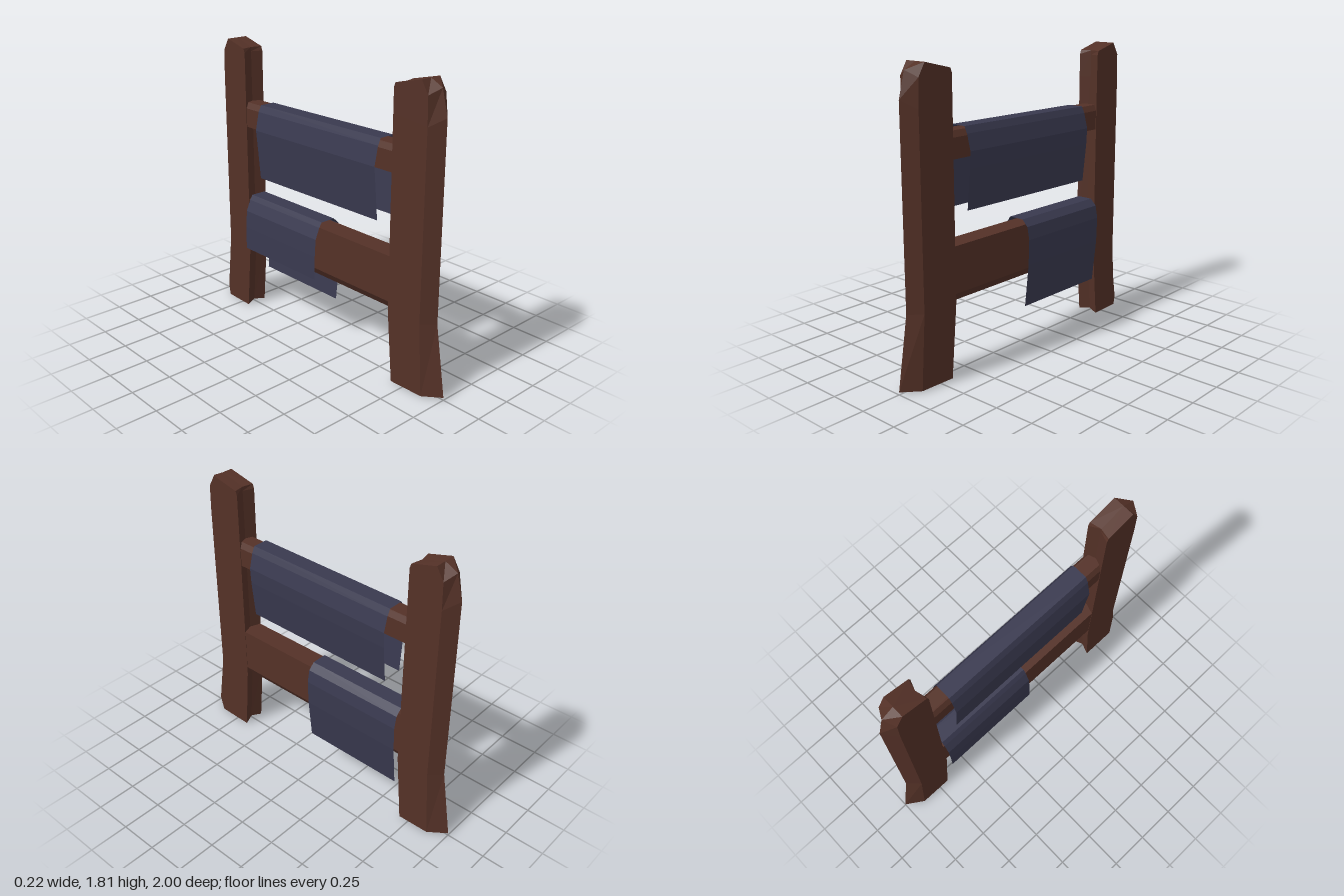
import * as THREE from 'three';

const W = 0.07; // half width of the timber

// Skin a stack of closed cross-sections, with end caps.
function loft(loops) {
  const pos = [];
  const tri = (a, b, c) => pos.push(...a, ...b, ...c);
  const n = loops[0].length;
  for (let l = 0; l < loops.length - 1; l++) {
    for (let i = 0; i < n; i++) {
      const j = (i + 1) % n;
      tri(loops[l][i], loops[l][j], loops[l + 1][j]);
      tri(loops[l][i], loops[l + 1][j], loops[l + 1][i]);
    }
  }
  const top = loops[loops.length - 1];
  for (let i = 1; i < n - 1; i++) {
    tri(loops[0][0], loops[0][i + 1], loops[0][i]);
    tri(top[0], top[i], top[i + 1]);
  }
  const g = new THREE.BufferGeometry();
  g.setAttribute('position', new THREE.Float32BufferAttribute(pos, 3));
  g.computeVertexNormals();
  return g;
}

// Upright with a wedge outside, a shallow groove inside and a chamfered top.
// Each level gives [y, z] for the outer ridge, side edge, inner edge and groove.
function postGeometry(s, shift) {
  const levels = [
    [[0.015, 1.0], [0.005, 0.89], [0.0, 0.66], [0.012, 0.685]],
    [[0.45, 0.93], [0.45, 0.86], [0.45, 0.62], [0.45, 0.645]],
    [[1.62, 0.93], [1.57, 0.86], [1.6, 0.62], [1.6, 0.645]],
    [[1.77, 0.89], [1.735, 0.855], [1.74, 0.62], [1.74, 0.645]],
    [[1.81, 0.81], [1.81, 0.81], [1.767, 0.63], [1.767, 0.645]],
  ];
  return loft(levels.map(([o, e, i, g]) => {
    const p = (x, [y, z], d = 0) => [s * x, y, s * (z + d)];
    return [p(0, o), p(W, e), p(W, i, shift), p(0, g, shift), p(-W, i, shift), p(-W, e)];
  }));
}

// Rail running along z with the given cross-section.
function railGeometry(points) {
  const shape = new THREE.Shape(points.map(([x, y]) => new THREE.Vector2(x, y)));
  const g = new THREE.ExtrudeGeometry(shape, { depth: 1.42, bevelEnabled: false });
  g.translate(0, 0, -0.72);
  return g;
}

// Sheet draped along a profile from the -x hem to the +x hem.
function clothGeometry(profile, zBack, zFront, slope) {
  const g = new THREE.PlaneGeometry(1, 1, profile.length - 1, 1);
  const p = g.attributes.position;
  for (let i = 0; i < p.count; i++) {
    const [x, y] = profile[i % profile.length];
    const front = i >= profile.length;
    p.setXYZ(i, x, y + (front ? slope : -slope), front ? zFront : zBack);
  }
  g.computeVertexNormals();
  return g;
}

export function createModel() {
  const group = new THREE.Group();
  const wood = new THREE.MeshStandardMaterial({ color: 0x543127, flatShading: true });
  wood.name = 'dark wood';
  const fabric = new THREE.MeshStandardMaterial({ color: 0x39394f, flatShading: true, side: THREE.DoubleSide });
  fabric.name = 'blue fabric';
  const add = (name, geometry, material) => {
    const mesh = new THREE.Mesh(geometry, material);
    mesh.name = name;
    group.add(mesh);
  };

  // Uprights
  add('frontPost', postGeometry(1, 0), wood);
  add('backPost', postGeometry(-1, 0.025), wood);

  // Rails
  add('upperRail', railGeometry([
    [-W + 0.005, 1.27], [W - 0.005, 1.27], [W - 0.005, 1.39], [0.045, 1.425], [-0.045, 1.425], [-W + 0.005, 1.39],
  ]), wood);
  add('lowerRail', railGeometry([
    [-0.035, 0.45], [0.035, 0.45], [W - 0.003, 0.5], [W - 0.003, 0.78], [-W + 0.003, 0.78], [-W + 0.003, 0.5],
  ]), wood);

  // Hanging cloths
  add('upperCloth', clothGeometry([
    [-0.065, 0.96], [-0.085, 1.18], [-0.095, 1.28], [-0.07, 1.395], [-0.05, 1.435],
    [0.05, 1.435], [0.07, 1.395], [0.095, 1.3], [0.09, 1.2], [0.065, 0.96],
  ], -0.52, 0.515, 0.004), fabric);
  add('lowerCloth', clothGeometry([
    [-0.11, 0.45], [-0.108, 0.6], [-0.1, 0.71], [-0.07, 0.78], [-0.05, 0.81],
    [0.05, 0.81], [0.09, 0.77], [0.105, 0.69], [0.1, 0.53], [0.072, 0.26],
  ], -0.633, 0.04, 0), fabric);

  return group;
}
